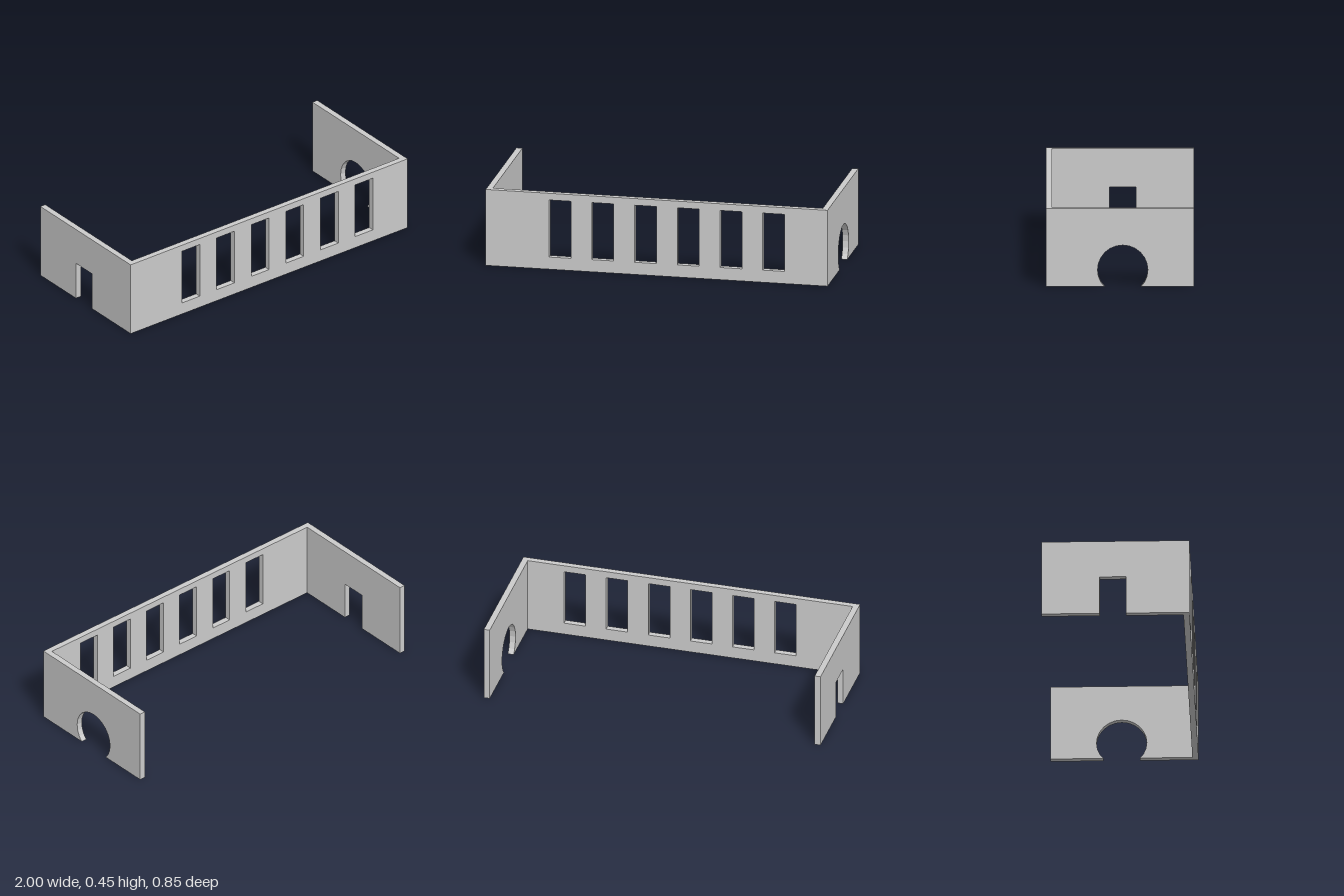
import * as THREE from 'three';

const H = 0.454, HALF_DEPTH = 0.424, T = 0.035;

export function createModel() {
  const group = new THREE.Group();
  const material = new THREE.MeshStandardMaterial({ color: 0xcccccc, flatShading: true });
  const points = (list) => list.map(([x, y]) => new THREE.Vector2(x, y));
  const addWall = (name, shape) => {
    const geometry = new THREE.ExtrudeGeometry(shape, { depth: T, bevelEnabled: false });
    const mesh = new THREE.Mesh(geometry, material);
    mesh.name = name;
    group.add(mesh);
    return mesh;
  };

  // Front wall with a row of six tall windows
  const front = new THREE.Shape(points([[-1, 0], [1, 0], [1, H], [-1, H]]));
  for (let i = 0; i < 6; i++) {
    const x0 = -0.629 + i * 0.25, x1 = x0 + 0.128;
    front.holes.push(new THREE.Path(points([[x0, 0.073], [x0, 0.414], [x1, 0.414], [x1, 0.073]])));
  }
  addWall('frontWall', front).position.z = HALF_DEPTH - T;

  // Side walls: outline drawn along -z, with an opening cut up from the floor
  const addSideWall = (name, x, opening) => {
    const shape = new THREE.Shape(points([
      [T - HALF_DEPTH, 0], ...opening, [HALF_DEPTH, 0], [HALF_DEPTH, H], [T - HALF_DEPTH, H],
    ]));
    const wall = addWall(name, shape);
    wall.rotation.y = Math.PI / 2;
    wall.position.x = x;
  };

  // Round opening, cut off by the floor
  const cx = 0.016, cy = 0.097, r = 0.144;
  const arch = [[cx - 0.104, 0]];
  for (let deg = 210; deg >= -30; deg -= 15) {
    const a = THREE.MathUtils.degToRad(deg);
    arch.push([cx + r * Math.cos(a), cy + r * Math.sin(a)]);
  }
  arch.push([cx + 0.104, 0]);
  addSideWall('leftWallWithRoundOpening', 1 - T, arch);

  // Rectangular doorway
  addSideWall('rightWallWithDoorway', -1, [[-0.06, 0], [-0.06, 0.23], [0.09, 0.23], [0.09, 0]]);

  return group;
}
